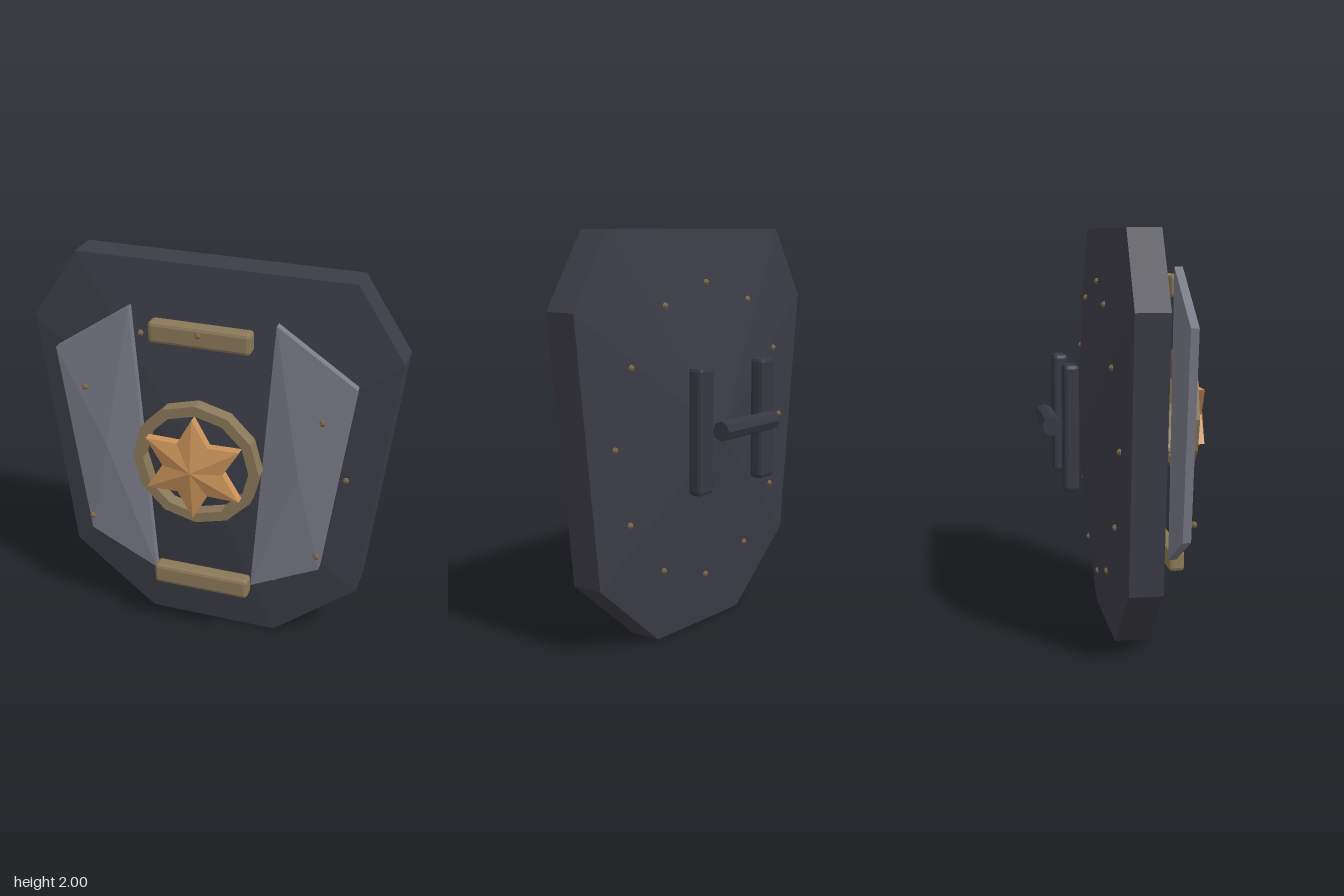
import * as THREE from 'three';
import { RoundedBoxGeometry } from 'three/addons/geometries/RoundedBoxGeometry.js';

const mat = (name, color) => {
  const m = new THREE.MeshStandardMaterial({ color, flatShading: true });
  m.name = name;
  return m;
};

// Flat rim swelling to a central point on both faces; outline runs counter-clockwise.
function peakedPlate(outline, z, halfRim, halfPeak) {
  const n = outline.length;
  const cx = outline.reduce((s, p) => s + p[0], 0) / n;
  const cy = outline.reduce((s, p) => s + p[1], 0) / n;
  const pos = [];
  outline.forEach(([ax, ay], i) => {
    const [bx, by] = outline[(i + 1) % n];
    const f = z + halfRim, b = z - halfRim;
    pos.push(cx, cy, z + halfPeak, ax, ay, f, bx, by, f);
    pos.push(cx, cy, z - halfPeak, bx, by, b, ax, ay, b);
    pos.push(ax, ay, f, ax, ay, b, bx, by, b);
    pos.push(ax, ay, f, bx, by, b, bx, by, f);
  });
  const g = new THREE.BufferGeometry();
  g.setAttribute('position', new THREE.Float32BufferAttribute(pos, 3));
  g.computeVertexNormals();
  return g;
}

const mirrored = (pts) => pts.map(([x, y]) => [-x, y]).reverse();

// Regular polygon points, first one straight up, radii taken in turn
const ringPoints = (n, cy, ...radii) => Array.from({ length: n }, (_, i) => {
  const a = Math.PI / 2 + (i / n) * Math.PI * 2;
  const r = radii[i % radii.length];
  return [Math.cos(a) * r, cy + Math.sin(a) * r];
});

export function createModel() {
  const group = new THREE.Group();
  const darkSteel = mat('darkSteel', 0x3c3c46);
  const handleSteel = mat('handleSteel', 0x373742);
  const paleSteel = mat('paleSteel', 0x7a7a88);
  const brass = mat('brass', 0x8b7859);
  const copper = mat('copper', 0xcb935a);
  const rivetBrass = mat('rivetBrass', 0x7a6545);

  const add = (name, geometry, material, x = 0, y = 0, z = 0) => {
    const mesh = new THREE.Mesh(geometry, material);
    mesh.name = name;
    mesh.position.set(x, y, z);
    group.add(mesh);
    return mesh;
  };

  // Shield body
  const half = [[0.34, 0], [0.77, 0.35], [0.925, 1.64], [0.69, 2]];
  add('shieldBody', peakedPlate([...half, ...mirrored(half)], -0.005, 0.08, 0.22), darkSteel);

  // Side armour panels
  const panel = [[0.255, 0.375], [0.605, 0.55], [0.745, 1.56], [0.36, 1.82]];
  add('leftPanel', peakedPlate(panel, 0.215, 0.02, 0.05), paleSteel);
  add('rightPanel', peakedPlate(mirrored(panel), 0.215, 0.02, 0.05), paleSteel);

  // Horizontal braces
  const brace = new RoundedBoxGeometry(0.5, 0.107, 0.08, 1, 0.018);
  add('topBrace', brace, brass, 0, 1.723, 0.24);
  add('bottomBrace', brace, brass, 0, 0.365, 0.24);

  // Twelve-sided emblem ring
  const toVectors = (pts) => pts.map(([x, y]) => new THREE.Vector2(x, y));
  const ring = new THREE.Shape(toVectors(ringPoints(12, 0, 0.32)));
  ring.holes.push(new THREE.Path(toVectors(ringPoints(12, 0, 0.268))));
  add('emblemRing', new THREE.ExtrudeGeometry(ring, { depth: 0.07, bevelEnabled: false }),
    brass, 0, 1.085, 0.265);

  // Six-pointed star
  add('star', peakedPlate(ringPoints(12, 1.085, 0.27, 0.152), 0.355, 0.022, 0.06), copper);

  // Rear handle: two posts and a grip
  const post = new RoundedBoxGeometry(0.115, 0.615, 0.076, 1, 0.02);
  for (const s of [1, -1]) {
    add(s > 0 ? 'leftHandlePost' : 'rightHandlePost', post, handleSteel, s * 0.262, 1.053, -0.288);
  }
  const grip = new THREE.CylinderGeometry(0.048, 0.048, 0.44, 8).rotateZ(Math.PI / 2);
  add('handleGrip', grip, handleSteel, 0, 1.055, -0.373);

  // Rivets around an oval on both faces: x, y, front z, back z
  const rivet = new THREE.SphereGeometry(0.016, 6, 4);
  const spots = [
    [0, 1.742, 0.282, -0.123], [0.345, 1.645, 0.127, -0.137], [0.595, 1.375, 0.25, -0.135],
    [0.69, 1.005, 0.105, -0.114], [0.595, 0.635, 0.25, -0.121], [0.345, 0.36, 0.114, -0.125],
    [0, 0.265, 0.114, -0.123],
  ];
  for (const [x, y, front, back] of spots) {
    for (const s of x ? [1, -1] : [1]) {
      add('frontRivet', rivet, rivetBrass, s * x, y, front);
      add('backRivet', rivet, rivetBrass, s * x, y, back);
    }
  }
  return group;
}
